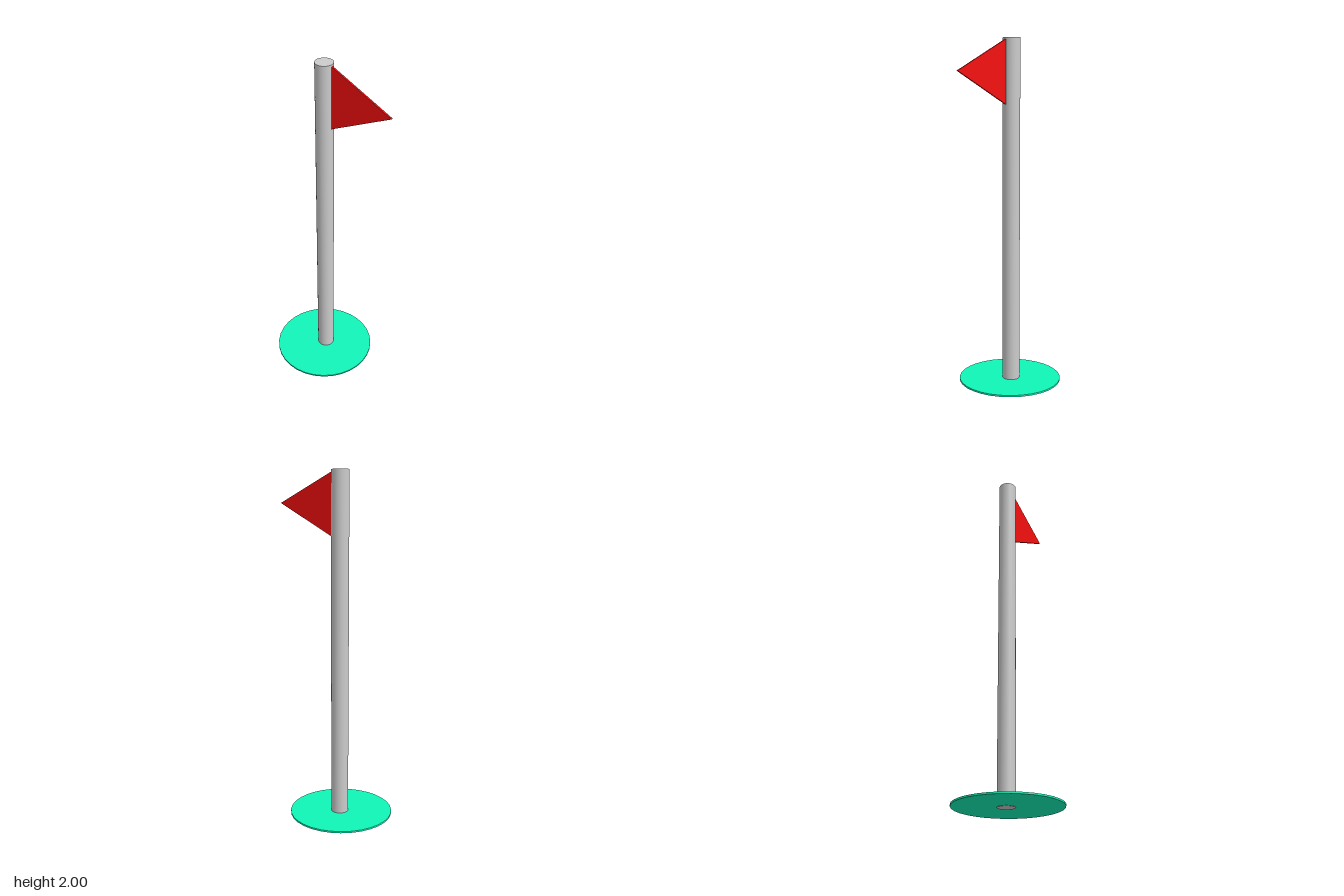
import * as THREE from 'three';

const POLE_X = -0.055, POLE_Z = -0.012, POLE_R = 0.05;

function part(name, geometry, color) {
  const mesh = new THREE.Mesh(geometry, new THREE.MeshStandardMaterial({ color }));
  mesh.name = name;
  return mesh;
}

export function createModel() {
  const model = new THREE.Group();
  model.name = 'flagPole';

  // Thin round ground disc
  const base = part('base', new THREE.CylinderGeometry(0.3, 0.3, 0.01, 32), 0x10f5b8);
  base.position.set(-0.057, 0.007, 0);

  // Upright pole, passing through the disc
  const pole = part('pole', new THREE.CylinderGeometry(POLE_R, POLE_R, 2, 32), 0xcccccc);
  pole.position.set(POLE_X, 1, POLE_Z);

  // Thin triangular pennant pointing to +x
  const outline = new THREE.Shape([
    new THREE.Vector2(-0.007, 1.63),
    new THREE.Vector2(0.355, 1.81),
    new THREE.Vector2(-0.007, 1.99),
  ]);
  const flag = part('flag', new THREE.ExtrudeGeometry(outline, { depth: 0.01, bevelEnabled: false }), 0xf50f0f);
  flag.position.z = POLE_Z - 0.005;

  model.add(base, pole, flag);
  return model;
}
